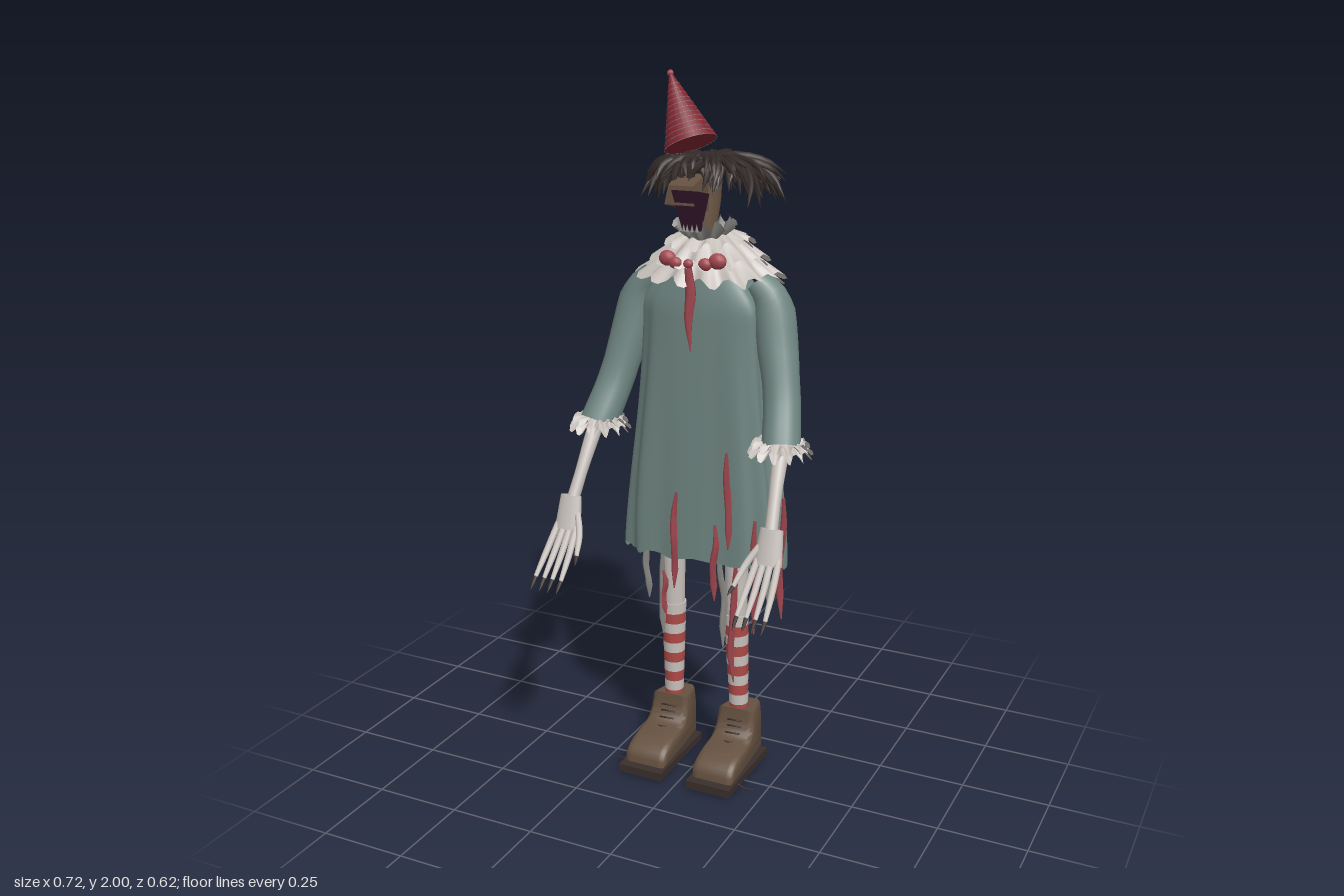
import * as THREE from 'three';
import { toCreasedNormals } from 'three/addons/utils/BufferGeometryUtils.js';
import { ParametricGeometry } from 'three/addons/geometries/ParametricGeometry.js';
import { ConvexGeometry } from 'three/addons/geometries/ConvexGeometry.js';

const V = (x, y, z) => new THREE.Vector3(x, y, z);
const { lerp, smoothstep } = THREE.MathUtils;
const TAU = Math.PI * 2;

export function createModel() {
  const model = new THREE.Group();
  const mat = (name, color, side = THREE.FrontSide) =>
    Object.assign(new THREE.MeshStandardMaterial({ color, side }), { name });
  const M = {
    cloth: mat('tealCloth', 0x708682, THREE.DoubleSide),
    white: mat('bone', 0xc8c1bc, THREE.DoubleSide),
    stripe: mat('stockingRed', 0xae4a47),
    ribbon: mat('ribbonRed', 0xa54a52),
    leather: mat('brownLeather', 0x655140),
    sole: mat('darkSole', 0x3a2f2c),
    hair: mat('darkHair', 0x332a28),
    mouth: mat('darkMouth', 0x32152a),
    hat: mat('hatRed', 0x802531, THREE.DoubleSide),
    rag: mat('greyRag', 0x8e8d89, THREE.DoubleSide),
  };
  let seed = 7;
  const rnd = () => (seed = (seed * 16807) % 2147483647) / 2147483647;
  const add = (name, geo, material, parent = model) => {
    const m = new THREE.Mesh(geo, material);
    m.name = name;
    parent.add(m);
    return m;
  };
  const group = (name) => {
    const g = new THREE.Group();
    g.name = name;
    model.add(g);
    return g;
  };

  // Tube along a smooth path whose radius follows a list of values
  const limb = (pts, radii, segs = 12, sides = 12) => {
    const curve = new THREE.CatmullRomCurve3(pts);
    const geo = new THREE.TubeGeometry(curve, segs, 1, sides);
    const p = geo.attributes.position, v = V(0, 0, 0);
    for (let i = 0; i < p.count; i++) {
      const t = Math.floor(i / (sides + 1)) / segs;
      const f = t * (radii.length - 1), k = Math.min(Math.floor(f), radii.length - 2);
      const c = curve.getPointAt(t);
      v.fromBufferAttribute(p, i).sub(c).multiplyScalar(lerp(radii[k], radii[k + 1], f - k)).add(c);
      p.setXYZ(i, v.x, v.y, v.z);
    }
    return geo;
  };

  // Pleated, scalloped ring running outward from r0 to r1
  const ruffle = (rx0, rz0, y0, rx1, rz1, y1, pleats, amp, c) =>
    new ParametricGeometry((u, v, out) => {
      const a = u * TAU, w = Math.cos(pleats * a);
      const k = 1 + w * amp * v;
      out.set(c.x + Math.cos(a) * lerp(rx0, rx1, v) * k,
        lerp(y0, y1, v) + Math.sin(pleats * a) * 0.01 * v - 0.008 * v * v * w,
        c.z + Math.sin(a) * lerp(rz0, rz1, v) * k);
    }, pleats * 6, 4);

  // Tunic: boxy oval tube with soft folds and a ragged hem
  const jag = Array.from({ length: 48 }, rnd);
  const tunic = (u, v, out, grow = 0) => {
    const a = u * TAU, c = Math.cos(a), s = Math.sin(a);
    const f = u * 48, k = Math.floor(f);
    const tear = lerp(jag[k % 48], jag[(k + 1) % 48], f - k) * lerp(0.025, 0.085, smoothstep(-s, -0.2, 0.4));
    const y = lerp(0.645, 1.5, v) + tear * Math.max(0, 1 - v * 5);
    const close = smoothstep(y, 1.37, 1.52);
    const fold = 1 + 0.04 * (1 - v) * Math.cos(11 * a + 1) + 0.025 * Math.cos(5 * a + v * 4);
    const w = lerp(0.236, 0.175, smoothstep(y, 0.65, 1.4)) * (1 - 0.45 * close) * fold + grow;
    const d = 0.082 * (1 - 0.2 * close) * fold + grow;
    out.set(Math.sign(c) * Math.abs(c) ** 0.7 * w, y, -0.083 + Math.sign(s) * Math.abs(s) ** 0.7 * d);
  };
  const tunicGeo = new ParametricGeometry((u, v, o) => tunic(u, v, o), 120, 40);
  tunicGeo.computeVertexNormals();
  add('tunic', tunicGeo, M.cloth);

  // Worn patches: around, up, width, height, material
  const patches = [[0.75, 0.21, 0.035, 0.06, 'rag'], [0.781, 0.62, 0.012, 0.025, 'sole'], [0.648, 0.62, 0.014, 0.03, 'rag'],
    [0.62, 0.36, 0.02, 0.035, 'rag'], [0.385, 0.26, 0.012, 0.05, 'rag'], [0.4, 0.15, 0.012, 0.03, 'sole']];
  for (const [u, v, w, h, m] of patches) {
    add('tornPatch', new ParametricGeometry((a, b, o) =>
      tunic(u + (a - 0.5) * w, v + (b - 0.5) * h - a * 0.015, o, 0.006), 5, 4), M[m]);
  }

  // Layered neck ruff
  const ruffAt = V(0, 0, -0.115);
  const ruff = group('neckRuff');
  const tiers = [
    [0.09, 0.08, 1.54, 0.2, 0.143, 1.46, 15], [0.07, 0.07, 1.57, 0.155, 0.133, 1.505, 14],
    [0.05, 0.05, 1.585, 0.115, 0.112, 1.55, 12]];
  for (const [a, b, c, d, e, f, n] of tiers) add('ruffTier', ruffle(a, b, c, d, e, f, n, 0.1, ruffAt), M.white, ruff);
  add('ruffTop', ruffle(0.045, 0.045, 1.56, 0.08, 0.075, 1.605, 12, 0.12, V(0, 0, -0.08)), M.rag, ruff);

  // Bow with a hanging tail
  const bow = group('bow');
  for (const [x, y, r] of [[-0.068, 1.518, 0.022], [-0.042, 1.508, 0.017], [0, 1.51, 0.013], [0.045, 1.51, 0.018], [0.078, 1.52, 0.023]]) {
    const b = add('bowLobe', new THREE.SphereGeometry(r, 12, 8), M.ribbon, bow);
    b.position.set(x, y, 0.022 - Math.abs(x) * 0.2);
    b.scale.set(1.1, 0.95, 0.8);
  }
  add('bowTail', limb([V(0, 1.5, 0.022), V(0.006, 1.43, 0.018), V(0, 1.36, 0.02), V(0.004, 1.27, 0.016)],
    [0.01, 0.016, 0.011, 0.001], 10, 5), M.ribbon, bow);

  // Torn ribbons and rags: x, z, top, bottom, material
  const strips = [
    [-0.05, 0.012, 0.86, 0.57, 'ribbon'], [0.115, 0.018, 1.0, 0.72, 'ribbon'], [0.19, 0, 0.81, 0.47, 'ribbon'],
    [0.075, 0.005, 0.78, 0.55, 'ribbon'], [0.12, -0.02, 0.68, 0.3, 'ribbon'], [0.31, 0.095, 0.93, 0.58, 'ribbon'],
    [0.1, -0.2, 1.09, 0.87, 'ribbon'], [-0.1, -0.035, 0.6, 0.46, 'ribbon'], [-0.17, -0.06, 0.7, 0.49, 'rag'],
    [0.08, -0.03, 0.7, 0.4, 'rag'], [-0.2, -0.165, 0.98, 0.6, 'rag'], [-0.13, -0.18, 0.82, 0.46, 'rag'],
    [0.16, -0.17, 0.75, 0.5, 'rag'], [-0.11, -0.03, 0.66, 0.4, 'rag']];
  for (const [x, z, top, bot, m] of strips) {
    const pts = [0, 0.25, 0.5, 0.75, 1].map((t) =>
      V(x + (rnd() - 0.5) * 0.014, lerp(top, bot, t), z + (rnd() - 0.5) * 0.012));
    add('tornStrip', limb(pts, [0.004, 0.009, 0.011, 0.01, 0.011, 0.002], 10, 4), M[m]);
  }

  // Shoe side profile, x is forward; narrowed toward ankle and heel
  const profile = new THREE.Shape();
  profile.moveTo(-0.14, 0.04);
  profile.quadraticCurveTo(-0.17, 0.1, -0.153, 0.165);
  profile.lineTo(-0.082, 0.17);
  profile.quadraticCurveTo(-0.075, 0.1, -0.025, 0.09);
  profile.quadraticCurveTo(0.085, 0.08, 0.083, 0.04);
  const shoeGeo = new THREE.ExtrudeGeometry(profile,
    { depth: 0.085, bevelSize: 0.014, bevelThickness: 0.02, bevelSegments: 4, curveSegments: 10 });
  shoeGeo.translate(0, 0, -0.0425).rotateY(-Math.PI / 2);
  const sp = shoeGeo.attributes.position;
  for (let i = 0; i < sp.count; i++) {
    const heel = 1 - 0.3 * smoothstep(-sp.getZ(i), 0.09, 0.18);
    sp.setX(i, sp.getX(i) * heel * (1.04 - 1.1 * Math.max(0, sp.getY(i) - 0.05)));
  }
  const upperGeo = toCreasedNormals(shoeGeo, 0.9);

  for (const s of [-1, 1]) {
    const side = s > 0 ? 'left' : 'right';

    // Sleeve, cuff and bony forearm
    const arm = group(side + 'Arm');
    add('sleeve', limb([V(s * 0.15, 1.45, -0.095), V(s * 0.188, 1.41, -0.092), V(s * 0.225, 1.27, -0.065),
      V(s * 0.252, 1.15, -0.03), V(s * 0.276, 1.04, 0.028)], [0.04, 0.058, 0.056, 0.051, 0.051, 0.053], 20, 16), M.cloth, arm);
    for (const r of [0.073, 0.081]) {
      add('cuff', ruffle(0.035, 0.035, 1.062, r, r - 0.006, r > 0.08 ? 1.03 : 1.05, 13, 0.11, V(s * 0.273, 0, 0.026)), M.white, arm);
    }
    add('forearm', limb([V(s * 0.276, 1.09, 0.0), V(s * 0.285, 0.98, 0.07), V(s * 0.3, 0.83, 0.15)],
      [0.022, 0.021, 0.017, 0.018], 10, 12), M.white, arm);

    // Flat hand with long dark-tipped fingers
    const palm = add('palm', new THREE.CylinderGeometry(0.032, 0.04, 0.095, 18), M.white, arm);
    palm.scale.z = 0.5;
    palm.rotation.x = -0.25;
    palm.position.set(s * 0.302, 0.81, 0.157);
    const fingers = [[0.331, 0.343], [0.311, 0.316], [0.292, 0.29], [0.274, 0.263]];
    const digits = fingers.map(([a, b]) => [V(s * a, 0.785, 0.163), V(s * lerp(a, b, 0.6), 0.715, 0.222),
      V(s * b, 0.655, 0.28), V(s * b, 0.627, 0.308)]);
    digits.push([V(s * 0.274, 0.81, 0.16), V(s * 0.25, 0.765, 0.195), V(s * 0.235, 0.718, 0.24), V(s * 0.228, 0.7, 0.262)]);
    for (const [a, b, c, d] of digits) {
      add('finger', limb([a, b, c], [0.009, 0.01, 0.009, 0.006], 8, 8), M.white, arm);
      add('nail', limb([c, c.clone().lerp(d, 0.5), d], [0.0062, 0.005, 0.0005], 4, 8), M.hair, arm);
    }

    // Leg and striped stocking
    const leg = group(side + 'Leg');
    const x = s * 0.1;
    add('thigh', new THREE.CylinderGeometry(0.036, 0.031, 0.3, 16), M.white, leg).position.set(x, 0.6, -0.087);
    for (let i = 0; i < 10; i++) {
      const r = (k) => 0.027 + k * 0.0009;
      add('stockingBand', new THREE.CylinderGeometry(r(i + 1), r(i), 0.032, 16), i % 2 ? M.white : M.stripe, leg)
        .position.set(x * lerp(1.06, 1, i / 9), 0.18 + i * 0.032, lerp(-0.1, -0.088, i / 9));
    }

    // Shoe with flat sole and loose lace ends
    const shoe = group(side + 'Shoe');
    add('upper', upperGeo, M.leather, shoe);
    add('sole', new THREE.BoxGeometry(0.137, 0.022, 0.275), M.sole, shoe).position.set(0, 0.021, -0.013);
    add('welt', new THREE.BoxGeometry(0.12, 0.01, 0.25), M.sole, shoe).position.set(0, 0.005, -0.013);
    for (let i = 0; i < 4; i++) {
      const y = 0.155 - i * 0.017, z = [-0.062, -0.057, -0.045, -0.02][i];
      add('lace', limb([V(-0.035, y - 0.012, z - 0.01), V(0, y, z + 0.006), V(0.035, y - 0.008, z - 0.01)],
        [0.0025, 0.0025], 6, 5), M.sole, shoe);
    }
    add('laceEnd', limb([V(s * 0.05, 0.03, 0.06), V(s * 0.09, 0.016, 0.065), V(s * 0.118, 0.014, 0.06)], [0.003, 0.002], 6, 5), M.sole, shoe);
    shoe.position.x = s * 0.108;
  }

  // Head: slim skull, wedge snout and dark jaw
  const head = group('head');
  add('skull', limb([V(0, 1.54, -0.085), V(-0.006, 1.62, -0.085), V(-0.012, 1.7, -0.088), V(-0.012, 1.78, -0.09)],
    [0.03, 0.037, 0.05, 0.056, 0.05], 10, 14), M.leather, head);
  const wedge = (x0, x1, yz) => new ConvexGeometry(yz.flatMap(([y, z, k]) => [V(x0 * k, y, z), V(x1 * k, y, z)]));
  add('snout', wedge(-0.066, 0.03, [[1.75, -0.06, 0.85], [1.715, 0.038, 0.75], [1.665, 0.042, 0.9], [1.64, -0.05, 0.8]]), M.leather, head);
  add('jaw', wedge(-0.04, 0.046, [[1.705, 0.049, 0.9], [1.69, -0.02, 0.9], [1.59, -0.02, 0.4], [1.6, 0.025, 0.4]]), M.mouth, head);
  for (let i = 0; i < 5; i++) {
    const t = add('tooth', new THREE.ConeGeometry(0.005, 0.02, 6), M.rag, head);
    t.position.set(-0.022 + i * 0.012, 1.606, 0.032 - Math.abs(i - 2) * 0.004);
  }

  // Shaggy hair arching outward and down, short over the face
  const hair = group('hair');
  const cap = add('hairCap', new THREE.SphereGeometry(1, 20, 12), M.hair, hair);
  cap.scale.set(0.095, 0.034, 0.085);
  cap.position.set(-0.003, 1.753, -0.105);
  for (let i = 0; i < 190; i++) {
    const a = i * 2.39996, front = Math.max(0, Math.sin(a));
    const reach = (0.12 + rnd() * 0.09) * (1 - 0.42 * front);
    const r0 = 0.015 + rnd() * 0.07;
    const drop = (0.045 + rnd() * 0.075) * (1 - 0.5 * front);
    const y0 = 1.793 - r0 * 0.25, twist = (rnd() - 0.5) * 0.8;
    const at = (r, y, w) => V(Math.cos(a + w) * r, y, -0.105 + Math.sin(a + w) * r);
    add('lock', limb([at(r0, y0 - 0.015, 0), at(lerp(r0, reach, 0.4), y0 - drop * 0.17, twist * 0.2),
      at(lerp(r0, reach, 0.75), y0 - drop * 0.52, twist * 0.5), at(reach, y0 - drop - 0.01, twist)],
    [0.006, 0.01, 0.0085, 0.0005], 7, 5), M.hair, hair);
  }

  // Tilted party hat with woven lines and a small tip
  const hat = group('hat');
  const base = V(-0.028, 1.812, -0.052), tip = V(-0.105, 1.985, -0.09);
  const len = base.distanceTo(tip);
  add('cone', new THREE.CylinderGeometry(0.005, 0.072, len, 20), M.hat, hat).position.y = len / 2;
  for (let i = 0; i < 12; i++) {
    const t = i / 13;
    const ring = add('wovenLine', new THREE.TorusGeometry(lerp(0.072, 0.005, t), 0.0007, 4, 24), M.rag, hat);
    ring.rotation.x = Math.PI / 2;
    ring.position.y = t * len;
  }
  add('tip', new THREE.SphereGeometry(0.009, 10, 8), M.ribbon, hat).position.y = len + 0.003;
  hat.position.copy(base);
  hat.quaternion.setFromUnitVectors(V(0, 1, 0), tip.clone().sub(base).normalize());

  return model;
}
